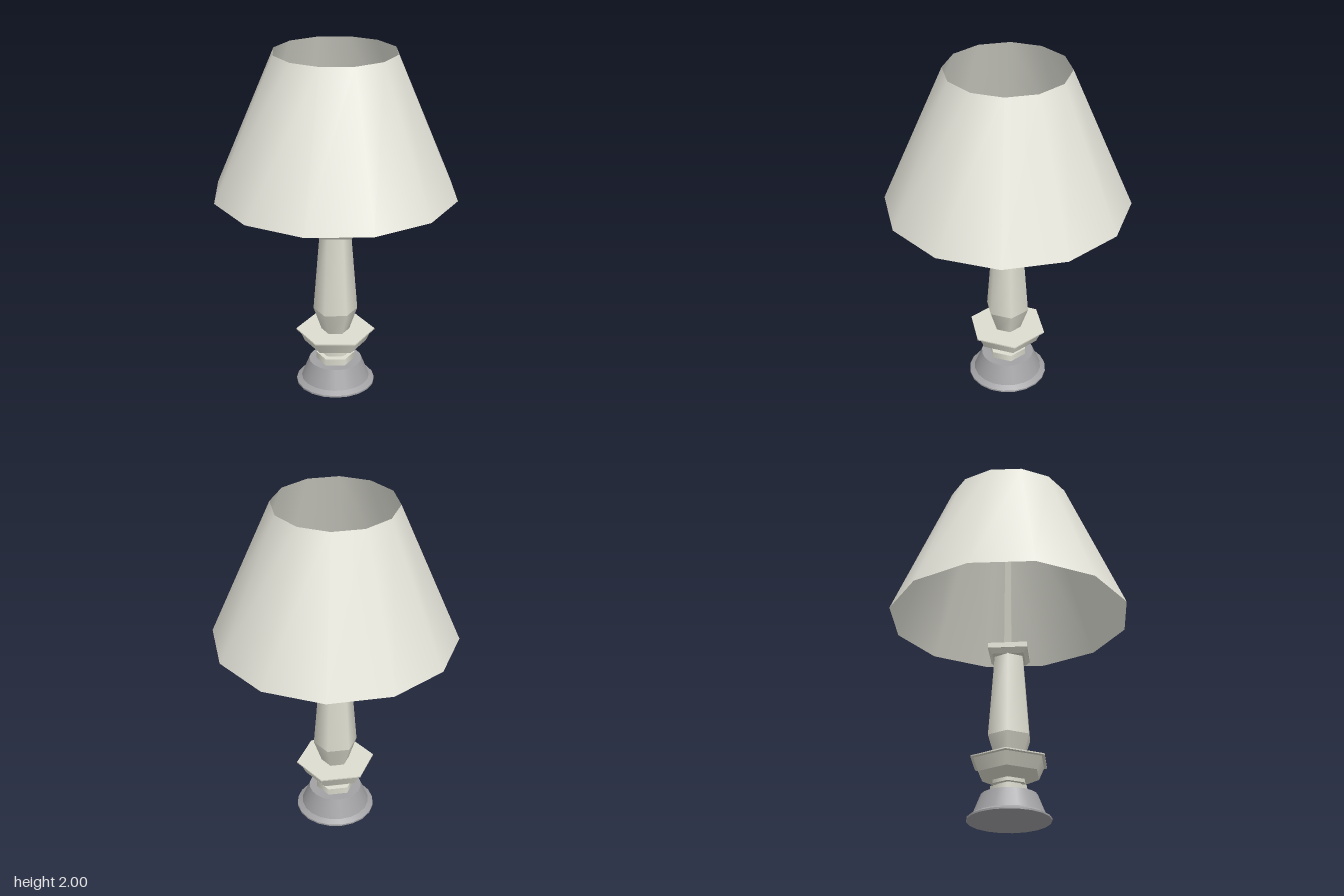
import * as THREE from 'three';

const ivory = new THREE.MeshStandardMaterial({ color: 0xddddd0 });
const ivoryFlat = new THREE.MeshStandardMaterial({ color: 0xddddd0, flatShading: true });
const grey = new THREE.MeshStandardMaterial({ color: 0xa2a2a5 });
const fabric = new THREE.MeshStandardMaterial({ color: 0xe4e4da, side: THREE.DoubleSide });
const deg = THREE.MathUtils.degToRad;

// Turned part from a bottom-to-top profile of [radius, height]: each band is
// smooth around the axis, with a sharp edge between bands and a cap at each end.
function turned(name, profile, sides, start, material, capped = true) {
  const group = new THREE.Group();
  group.name = name;
  const add = (geometry, y) => {
    const mesh = new THREE.Mesh(geometry, material);
    mesh.name = name + 'Band';
    mesh.position.y = y;
    group.add(mesh);
    return mesh;
  };
  for (let i = 0; i < profile.length - 1; i++) {
    const [r0, y0] = profile[i];
    const [r1, y1] = profile[i + 1];
    add(new THREE.CylinderGeometry(r1, r0, y1 - y0, sides, 1, true, deg(start)), (y0 + y1) / 2);
  }
  if (capped) {
    [profile[0], profile[profile.length - 1]].forEach(([r, y], i) => {
      const cap = add(new THREE.CircleGeometry(r, sides, deg(start - 90)), y);
      cap.rotation.x = i ? -Math.PI / 2 : Math.PI / 2;
    });
  }
  return group;
}

export function createModel() {
  const lamp = new THREE.Group();
  lamp.name = 'tableLamp';
  const HEX = 30; // hexagon corners on the x axis

  // Round foot
  lamp.add(turned('foot', [[0.23, 0], [0.23, 0.01], [0.2, 0.028], [0.155, 0.14]], 20, 0, grey));

  // Stacked hexagonal neck rings
  lamp.add(turned('lowerRing', [[0.113, 0.14], [0.113, 0.18]], 6, HEX, ivory));
  lamp.add(turned('neck', [[0.075, 0.18], [0.075, 0.2]], 6, HEX, ivory));
  lamp.add(turned('upperRing', [[0.1, 0.197], [0.1, 0.217]], 6, HEX, ivory));

  // Hexagonal dish with a thin lip
  lamp.add(turned('dish', [[0.1, 0.217], [0.18, 0.255], [0.212, 0.325], [0.23, 0.328], [0.23, 0.335]], 6, HEX, ivory));

  // Hexagonal vase-shaped column
  lamp.add(turned('column', [[0.08, 0.33], [0.128, 0.47], [0.09, 0.945]], 6, HEX, ivory));

  // Square capital flaring into a plate
  const s = Math.SQRT2;
  lamp.add(turned('capital', [[0.088 * s, 0.942], [0.108 * s, 0.97], [0.11 * s, 0.97], [0.11 * s, 1]], 4, 45, ivoryFlat));

  // Three-sided rod holding the shade
  lamp.add(turned('rod', [[0.029, 1], [0.023, 1.7]], 3, 60, ivoryFlat));

  // Open twelve-sided shade
  lamp.add(turned('shade', [[0.69, 1.2], [0.345, 2]], 12, 16.6, fabric, false));

  return lamp;
}
